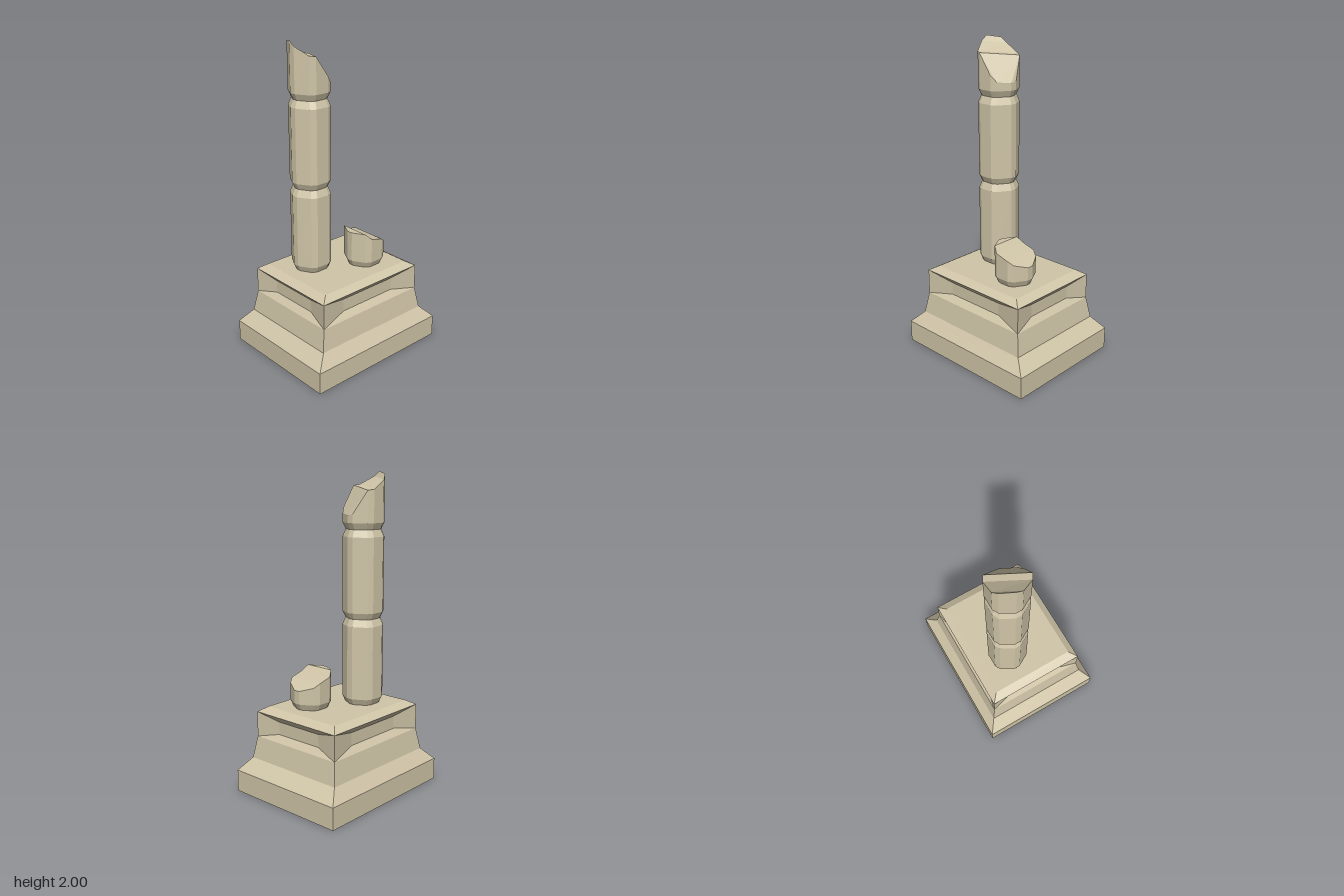
import * as THREE from 'three';

const stone = new THREE.MeshStandardMaterial({ color: 0xd0c5a8, flatShading: true });

// Flat-faced mesh from convex polygons of [x, y, z] corners (counter-clockwise from outside)
function facetMesh(name, polygons) {
  const pos = [];
  for (const p of polygons)
    for (let i = 1; i < p.length - 1; i++) pos.push(...p[0], ...p[i], ...p[i + 1]);
  const geo = new THREE.BufferGeometry();
  geo.setAttribute('position', new THREE.Float32BufferAttribute(pos, 3));
  geo.computeVertexNormals();
  const mesh = new THREE.Mesh(geo, stone);
  mesh.name = name;
  return mesh;
}

// Side walls between successive rings of corners
function loft(rings) {
  const faces = [];
  for (let k = 0; k < rings.length - 1; k++) {
    const a = rings[k], b = rings[k + 1], n = a.length;
    for (let i = 0; i < n; i++) {
      const j = (i + 1) % n;
      faces.push([a[i], a[j], b[j], b[i]]);
    }
  }
  return faces;
}

const rect = (hx, hz, y) => [[-hx, y, hz], [hx, y, hz], [hx, y, -hz], [-hx, y, -hz]];
const lerp = (a, b, t) => a.map((v, i) => v + (b[i] - v) * t);

// Hexagon with bevelled corners, the section of both columns
const SECTION = [
  [-0.02, 0.125], [0.02, 0.125], [0.10, 0.08], [0.12, 0.045], [0.12, -0.045], [0.10, -0.08],
  [0.02, -0.125], [-0.02, -0.125], [-0.10, -0.08], [-0.12, -0.045], [-0.12, 0.045], [-0.10, 0.08],
];
const NECK = 0.85;

// One drum: bevelled foot, shaft, then a bevelled head or a broken top
function drum(name, y0, y1, brokenHeights, breakFaces) {
  const ring = (s, y) => SECTION.map(([x, z], i) => [x * s, Array.isArray(y) ? y[i] : y, z * s]);
  const rings = [ring(NECK, y0), ring(1, y0 + 0.04)];
  if (brokenHeights) rings.push(ring(1, brokenHeights));
  else rings.push(ring(1, y1 - 0.045), ring(NECK, y1));
  const top = rings[rings.length - 1];
  const caps = brokenHeights ? breakFaces.map((f) => f.map((i) => top[i])) : [top];
  return facetMesh(name, [...loft(rings), [...rings[0]].reverse(), ...caps]);
}

function createPlinth() {
  const plinth = new THREE.Group();
  plinth.name = 'plinth';

  // Foot slab and sloping moulding
  const foot = [rect(0.41, 0.5, 0), rect(0.41, 0.5, 0.14), rect(0.35, 0.42, 0.22), rect(0.327, 0.395, 0.36)];
  plinth.add(facetMesh('plinthFoot', [...loft(foot), [...foot[0]].reverse()]));

  // Block with a hollowed panel on each side
  const lo = foot[3], hi = rect(0.327, 0.395, 0.523);
  const inLo = rect(0.292, 0.36, 0.4), inHi = rect(0.292, 0.36, 0.482);
  const faces = [];
  for (let i = 0; i < 4; i++) {
    const j = (i + 1) % 4;
    const outer = [lo[i], lo[j], hi[j], hi[i]];
    const inner = [
      lerp(inLo[i], inLo[j], 0.215), lerp(inLo[i], inLo[j], 0.785),
      lerp(inHi[i], inHi[j], 0.785), lerp(inHi[i], inHi[j], 0.215),
    ];
    faces.push(inner, ...loft([outer, inner]));
  }
  plinth.add(facetMesh('plinthPanels', faces));

  // Bevelled top
  const cap = rect(0.28, 0.34, 0.555);
  plinth.add(facetMesh('plinthTop', [...loft([hi, cap]), cap]));
  return plinth;
}

export function createModel() {
  const model = new THREE.Group();
  model.name = 'ruinedColumns';
  model.add(createPlinth());

  // Tall column of three drums, the last one snapped off
  const column = new THREE.Group();
  column.name = 'tallColumn';
  column.position.set(-0.08, 0, 0.145);
  column.add(drum('lowerDrum', 0.555, 1.105));
  column.add(drum('middleDrum', 1.105, 1.655));
  column.add(drum('brokenDrum', 1.655, 0,
    [2.0, 1.97, 1.92, 1.915, 1.79, 1.75, 1.74, 1.75, 1.89, 1.895, 1.95, 1.985],
    [[11, 0, 1, 10], [10, 1, 2, 9], [9, 2, 3, 8], [8, 3, 5, 6], [3, 4, 5], [6, 7, 8]]));
  model.add(column);

  // Short stump, its top falling to the back
  const stump = drum('columnStump', 0.555, 0,
    [0.79, 0.79, 0.79, 0.755, 0.73, 0.705, 0.68, 0.68, 0.705, 0.73, 0.755, 0.79],
    [[11, 0, 1, 2], [10, 11, 2, 3], [9, 10, 3, 4], [8, 9, 4, 5], [8, 5, 6, 7]]);
  stump.position.set(0.09, 0, -0.155);
  model.add(stump);

  return model;
}
